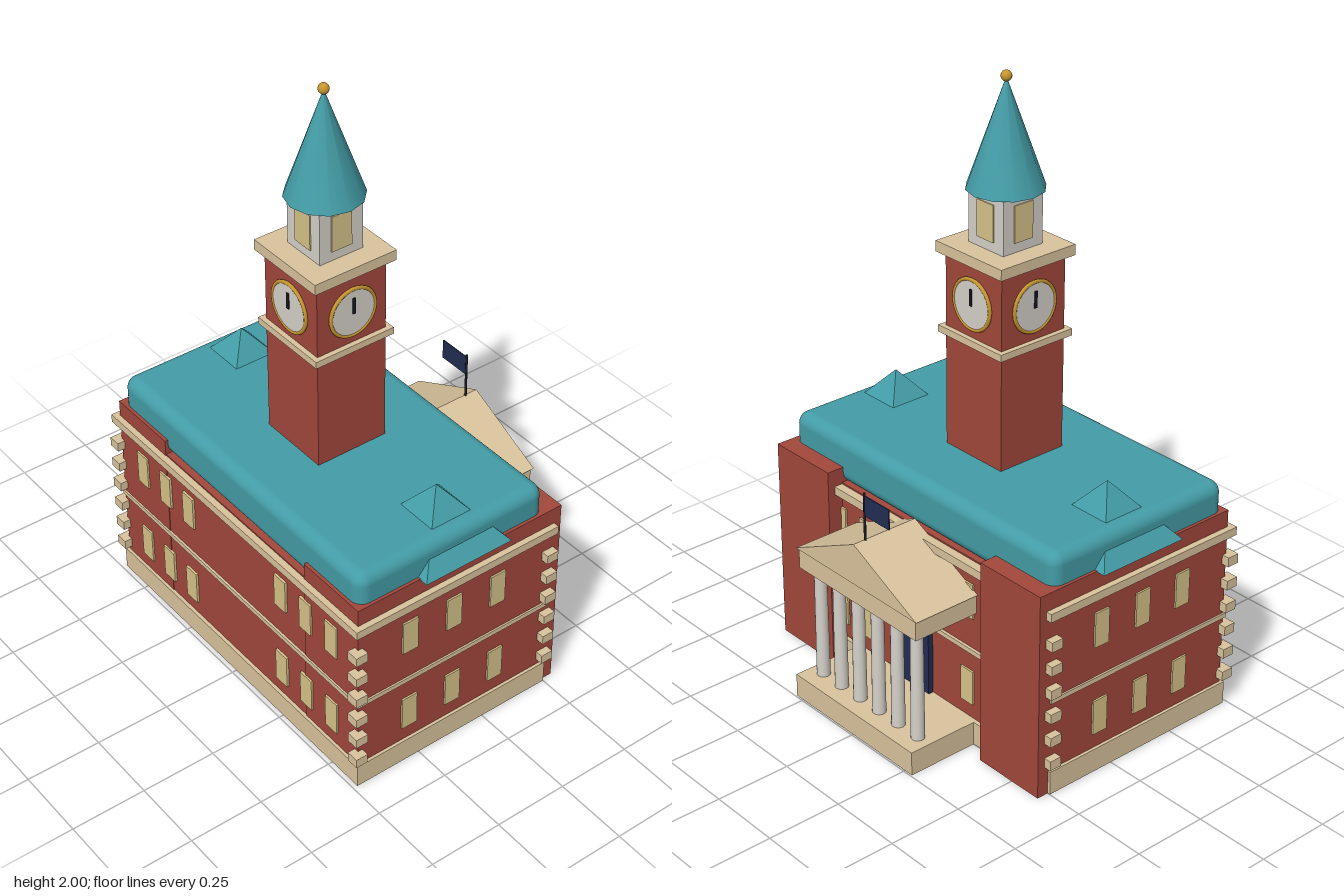
import * as THREE from 'three';
import { RoundedBoxGeometry } from 'three/addons/geometries/RoundedBoxGeometry.js';

const paint = (name, color) => {
  const m = new THREE.MeshStandardMaterial({ color });
  m.name = name;
  return m;
};

export function createModel() {
  const brick = paint('brick red', 0xa3483c);
  const teal = paint('roof teal', 0x449da7);
  const tan = paint('sandstone', 0xdac49e);
  const stone = paint('pale stone', 0xd6d2ca);
  const glow = paint('window glow', 0xd8c48a);
  const navy = paint('navy', 0x222d52);
  const gold = paint('gold', 0xc8962f);
  const dark = paint('dark metal', 0x1b1c26);

  const model = new THREE.Group();
  model.name = 'townHall';

  const add = (name, geometry, material, x = 0, y = 0, z = 0, parent = model) => {
    const mesh = new THREE.Mesh(geometry, material);
    mesh.name = name;
    mesh.position.set(x, y, z);
    parent.add(mesh);
    return mesh;
  };
  // Box given by its extents on each axis
  const span = (name, mat, x0, x1, y0, y1, z0, z1, parent) =>
    add(name, new THREE.BoxGeometry(x1 - x0, y1 - y0, z1 - z0), mat,
      (x0 + x1) / 2, (y0 + y1) / 2, (z0 + z1) / 2, parent);

  const CX = -0.12; // centre line of hall and tower

  // Hall body with its plinth and bands
  span('hallBody', brick, -0.473, 0.236, 0, 0.64, -0.61, 0.61);
  span('plinth', tan, -0.485, 0.25, 0.001, 0.08, -0.625, 0.625);
  span('stringCourse', tan, -0.481, 0.246, 0.315, 0.331, -0.621, 0.621);
  span('cornice', tan, -0.495, 0.265, 0.607, 0.635, -0.635, 0.635);

  // End pavilions and their pyramid roofs
  for (const s of [1, -1]) {
    add('endPavilion', new THREE.BoxGeometry(0.765, 0.692, 0.257), brick, -0.0925, 0.346, s * 0.4865);
    const pyramid = new THREE.ConeGeometry(0.16 * Math.SQRT2, 0.19, 4).toNonIndexed();
    pyramid.rotateY(Math.PI / 4);
    pyramid.computeVertexNormals();
    add('pavilionRoof', pyramid, teal, -0.09, 0.785, s * 0.485);
  }

  // Main roof with soft edges
  add('mainRoof', new RoundedBoxGeometry(0.694, 0.16, 1.21, 4, 0.04), teal, -0.117, 0.714, 0);

  // Corner quoins
  for (const x of [-0.48, 0.244])
    for (const z of [-0.62, 0.62])
      for (let i = 0; i < 6; i++)
        add('quoin', new THREE.BoxGeometry(0.042, 0.032, 0.042), tan, x, 0.116 + i * 0.082, z);

  // Two storeys of windows on all four sides
  for (const y of [0.19, 0.495])
    for (const s of [1, -1]) {
      for (const x of [-0.285, CX, 0.047])
        add('endWindow', new THREE.BoxGeometry(0.056, 0.118, 0.009), glow, x, y, s * 0.6165);
      for (const z of [0.24, 0.365, 0.49]) {
        add('rearWindow', new THREE.BoxGeometry(0.009, 0.118, 0.056), glow, -0.4765, y, s * z);
        if (z < 0.4) add('sideWindow', new THREE.BoxGeometry(0.009, 0.118, 0.056), glow, 0.238, y, s * z);
      }
    }

  // Portico with six columns
  const portico = new THREE.Group();
  portico.name = 'portico';
  model.add(portico);
  span('porticoBase', tan, 0.24, 0.495, 0, 0.08, -0.282, 0.282, portico);
  span('entablature', tan, 0.236, 0.47, 0.46, 0.53, -0.278, 0.278, portico);
  for (let i = 0; i < 6; i++)
    add('column', new THREE.CylinderGeometry(0.02, 0.022, 0.38, 16), stone,
      0.427, 0.27, (i - 2.5) * 0.092, portico);
  const gable = new THREE.Shape([
    new THREE.Vector2(-0.287, 0), new THREE.Vector2(0.287, 0), new THREE.Vector2(0, 0.138)]);
  const pediment = new THREE.ExtrudeGeometry(gable, { depth: 0.237, bevelEnabled: false });
  pediment.rotateY(Math.PI / 2);
  add('pediment', pediment, tan, 0.238, 0.528, 0, portico);
  span('door', navy, 0.235, 0.254, 0.08, 0.3, -0.075, 0.075, portico);

  // Flag above the pediment
  add('flagpole', new THREE.CylinderGeometry(0.004, 0.004, 0.17, 8), dark, 0.43, 0.738, 0, portico);
  span('flag', navy, 0.428, 0.432, 0.747, 0.815, -0.115, 0, portico);

  // Clock tower
  const tower = new THREE.Group();
  tower.name = 'clockTower';
  tower.position.x = CX;
  model.add(tower);
  span('towerShaft', brick, -0.125, 0.125, 0.7, 1.435, -0.125, 0.125, tower);
  span('towerLedge', tan, -0.142, 0.142, 1.17, 1.193, -0.142, 0.142, tower);
  span('towerCornice', tan, -0.146, 0.146, 1.432, 1.467, -0.146, 0.146, tower);
  span('belfry', stone, -0.077, 0.077, 1.467, 1.65, -0.077, 0.077, tower);

  // One clock and one belfry opening on each side of the tower
  for (let i = 0; i < 4; i++) {
    const side = new THREE.Group();
    side.name = 'towerSide';
    side.rotation.y = i * Math.PI / 2;
    tower.add(side);
    const face = new THREE.CylinderGeometry(0.08, 0.08, 0.009, 32).rotateX(Math.PI / 2);
    add('clockFace', face, stone, 0, 1.304, 0.1295, side);
    add('clockRim', new THREE.TorusGeometry(0.08, 0.006, 8, 32), gold, 0, 1.304, 0.131, side);
    add('clockHand', new THREE.BoxGeometry(0.01, 0.054, 0.004), dark, 0, 1.328, 0.136, side);
    add('belfryWindow', new THREE.BoxGeometry(0.072, 0.118, 0.008), glow, 0, 1.557, 0.077, side);
  }

  // Spire and finial
  add('spire', new THREE.ConeGeometry(0.121, 0.34, 12), teal, 0, 1.812, 0, tower);
  add('finial', new THREE.SphereGeometry(0.017, 16, 12), gold, 0, 1.983, 0, tower);

  return model;
}
